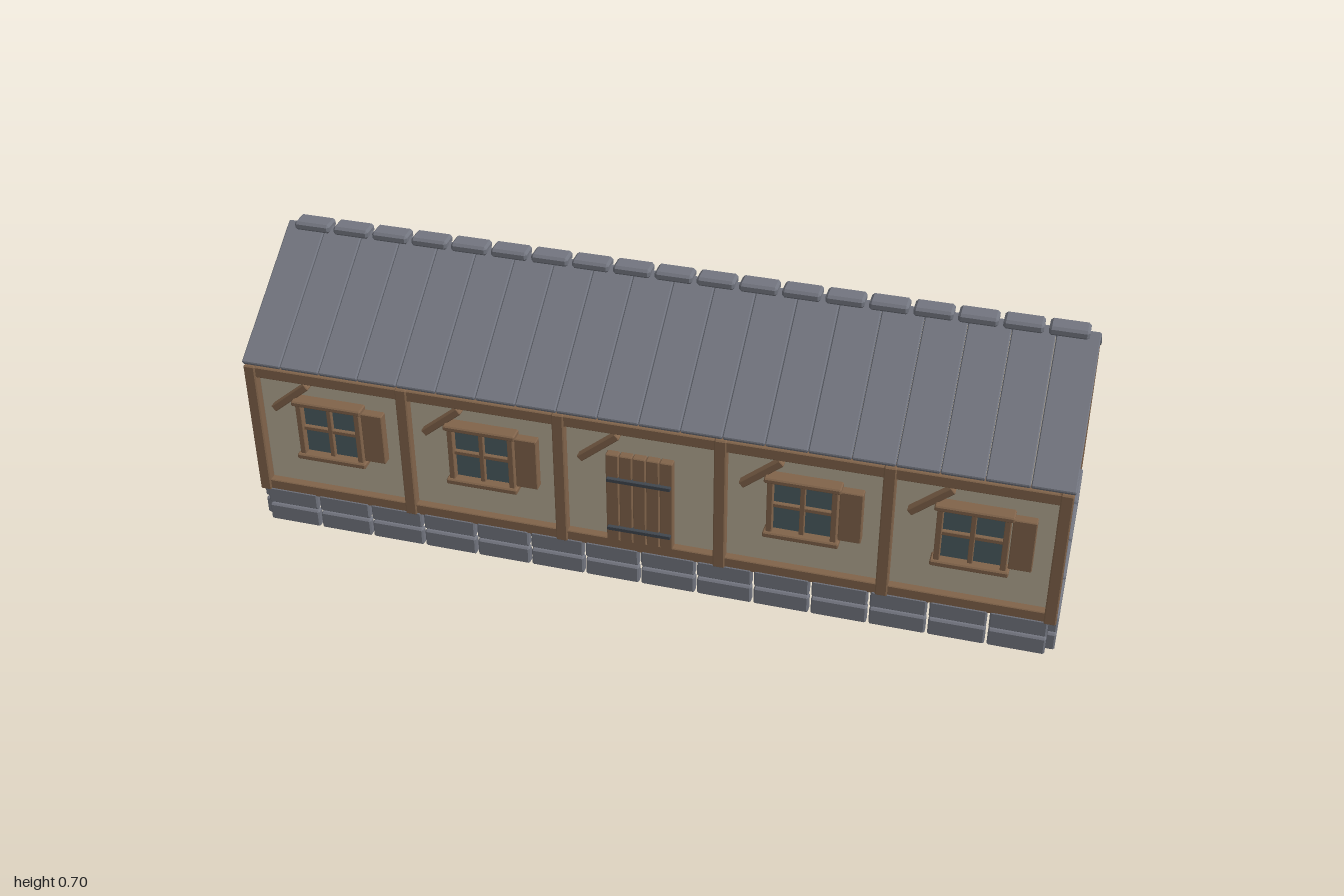
import * as THREE from 'three';
import { ConvexGeometry } from 'three/addons/geometries/ConvexGeometry.js';

const mat = (name, color) => {
  const m = new THREE.MeshStandardMaterial({ color });
  m.name = name;
  return m;
};

// Box with flat chamfered edges
function chamferBox(w, h, d, b) {
  const pts = [];
  const x = w / 2, y = h / 2, z = d / 2;
  for (const i of [-1, 1]) for (const j of [-1, 1]) for (const k of [-1, 1]) {
    pts.push(new THREE.Vector3(i * x, j * (y - b), k * (z - b)));
    pts.push(new THREE.Vector3(i * (x - b), j * y, k * (z - b)));
    pts.push(new THREE.Vector3(i * (x - b), j * (y - b), k * z));
  }
  return new ConvexGeometry(pts);
}

export function createModel() {
  const plaster = mat('plaster', 0xb5aa94);
  const stone = mat('slate stone', 0x72757f);
  const wood = mat('timber', 0x80634a);
  const glass = mat('window glass', 0x4b5c60);
  const iron = mat('iron', 0x40464e);

  const house = new THREE.Group();
  house.name = 'longhouse';

  function group(name) {
    const g = new THREE.Group();
    g.name = name;
    house.add(g);
    return g;
  }
  function add(parent, name, geometry, material) {
    const m = new THREE.Mesh(geometry, material);
    m.name = name;
    parent.add(m);
    return m;
  }
  // Chamfered box given by its limits on each axis
  function block(parent, name, material, [x0, x1], [y0, y1], [z0, z1], bevel = 0.002) {
    const m = add(parent, name, chamferBox(x1 - x0, y1 - y0, Math.abs(z1 - z0), bevel), material);
    m.position.set((x0 + x1) / 2, (y0 + y1) / 2, (z0 + z1) / 2);
    return m;
  }

  // Plaster body and gable
  block(house, 'walls', plaster, [-0.977, 0.977], [0.075, 0.46], [-0.304, 0.304], 0.012);
  const gable = new THREE.Shape();
  gable.moveTo(-0.3, 0.455);
  gable.lineTo(0.3, 0.455);
  gable.lineTo(0, 0.662);
  const gableGeo = new THREE.ExtrudeGeometry(gable, { depth: 1.93, bevelEnabled: false });
  gableGeo.translate(0, 0, -0.965).rotateY(Math.PI / 2);
  add(house, 'gable', gableGeo, plaster);

  // Two courses of foundation stones
  const base = group('foundation');
  for (const y of [[0, 0.048], [0.053, 0.1]]) {
    for (const s of [-1, 1]) {
      for (let i = 0; i < 14; i++) {
        const x = (i - 6.5) * 0.14;
        block(base, 'longSideStone', stone, [x - 0.067, x + 0.067], y, [s * 0.303, s * 0.326], 0.004);
      }
      for (let i = 0; i < 4; i++) {
        const z = (i - 1.5) * 0.153;
        const x = s > 0 ? [0.974, 0.998] : [-0.998, -0.974];
        block(base, 'endStone', stone, x, y, [z - 0.074, z + 0.074], 0.004);
      }
    }
  }

  // Roof planks, ridge caps
  const pitch = Math.atan2(0.218, 0.327);
  const roof = group('roof');
  const plankGeo = chamferBox(0.0985, 0.013, 0.393, 0.0025);
  for (const s of [-1, 1]) {
    for (let i = 0; i < 20; i++) {
      const p = add(roof, 'roofPlank', plankGeo, stone);
      p.position.set((i - 9.5) * 0.0998, 0.5756, s * 0.16);
      p.rotation.x = s * pitch;
    }
  }
  for (let i = 0; i < 19; i++) {
    const x = (i - 9) * 0.103;
    block(roof, 'ridgeCap', stone, [x - 0.046, x + 0.046], [0.677, 0.7], [-0.025, 0.025], 0.006);
  }

  // Gable timbers
  const ends = group('gableTimbers');
  const rafterGeo = chamferBox(0.028, 0.016, 0.387, 0.002);
  for (const e of [-1, 1]) {
    for (const s of [-1, 1]) {
      const r = add(ends, 'rafter', rafterGeo, wood);
      r.position.set(e * 0.977, 0.5605, s * 0.157);
      r.rotation.x = s * pitch;
    }
    block(ends, 'kingPost', wood, [e * 0.974 - 0.011, e * 0.974 + 0.011], [0.462, 0.662], [-0.0105, 0.0105]);
  }

  // Window with cross bars, lintel, sill and one shutter
  function addWindow(parent, cx, s) {
    const g = new THREE.Group();
    g.name = 'window';
    parent.add(g);
    const bar = (name, m, x, y, z, b = 0.0015) =>
      block(g, name, m, [cx + x[0], cx + x[1]], y, [s * 0.3, s * z], b);
    bar('glass', glass, [-0.076, 0.076], [0.225, 0.378], 0.314);
    for (const t of [-1, 1])
      bar('frameSide', wood, [t * 0.076 - 0.007, t * 0.076 + 0.007], [0.225, 0.378], 0.332);
    bar('lintel', wood, [-0.09, 0.09], [0.372, 0.386], 0.339, 0.003);
    bar('sill', wood, [-0.09, 0.09], [0.216, 0.231], 0.339, 0.003);
    bar('uprightBar', wood, [-0.006, 0.006], [0.228, 0.376], 0.325);
    bar('crossBar', wood, [-0.074, 0.074], [0.297, 0.308], 0.324);
    bar('shutter', wood, [0.086, 0.14], [0.234, 0.373], 0.327, 0.002);
  }

  // Plank door with iron bands
  function addDoor(parent, s) {
    const g = new THREE.Group();
    g.name = 'door';
    parent.add(g);
    for (let i = 0; i < 5; i++) {
      const x = (i - 2) * 0.033;
      block(g, 'doorPlank', wood, [x - 0.0155, x + 0.0155], [0.12, 0.37], [s * 0.3, s * 0.324]);
    }
    for (const y of [0.16, 0.302])
      block(g, 'doorBand', iron, [-0.078, 0.078], [y - 0.005, y + 0.005], [s * 0.318, s * 0.333], 0.001);
  }

  // Timber framing of both long sides
  const braceGeo = chamferBox(0.124, 0.018, 0.022, 0.002);
  for (const s of [1, -1]) {
    const side = group(s > 0 ? 'frontFacade' : 'backFacade');
    for (let i = 0; i < 6; i++) {
      const x = (i - 2.5) * 0.392;
      block(side, 'wallPost', wood, [x - 0.0145, x + 0.0145], [0.093, 0.462], [s * 0.302, s * 0.328], 0.003);
    }
    block(side, 'topRail', wood, [-0.98, 0.98], [0.43, 0.459], [s * 0.298, s * 0.324]);
    block(side, 'bottomRail', wood, [-0.98, 0.98], [0.094, 0.124], [s * 0.298, s * 0.324]);
    for (let i = 0; i < 5; i++) {
      const cx = (i - 2) * 0.392;
      const brace = add(side, 'brace', braceGeo, wood);
      brace.position.set(cx - 0.1, 0.383, s * 0.312);
      brace.rotation.z = 0.7;
      if (s > 0 && i === 2) addDoor(side, s);
      else addWindow(side, cx, s);
    }
  }
  return house;
}
